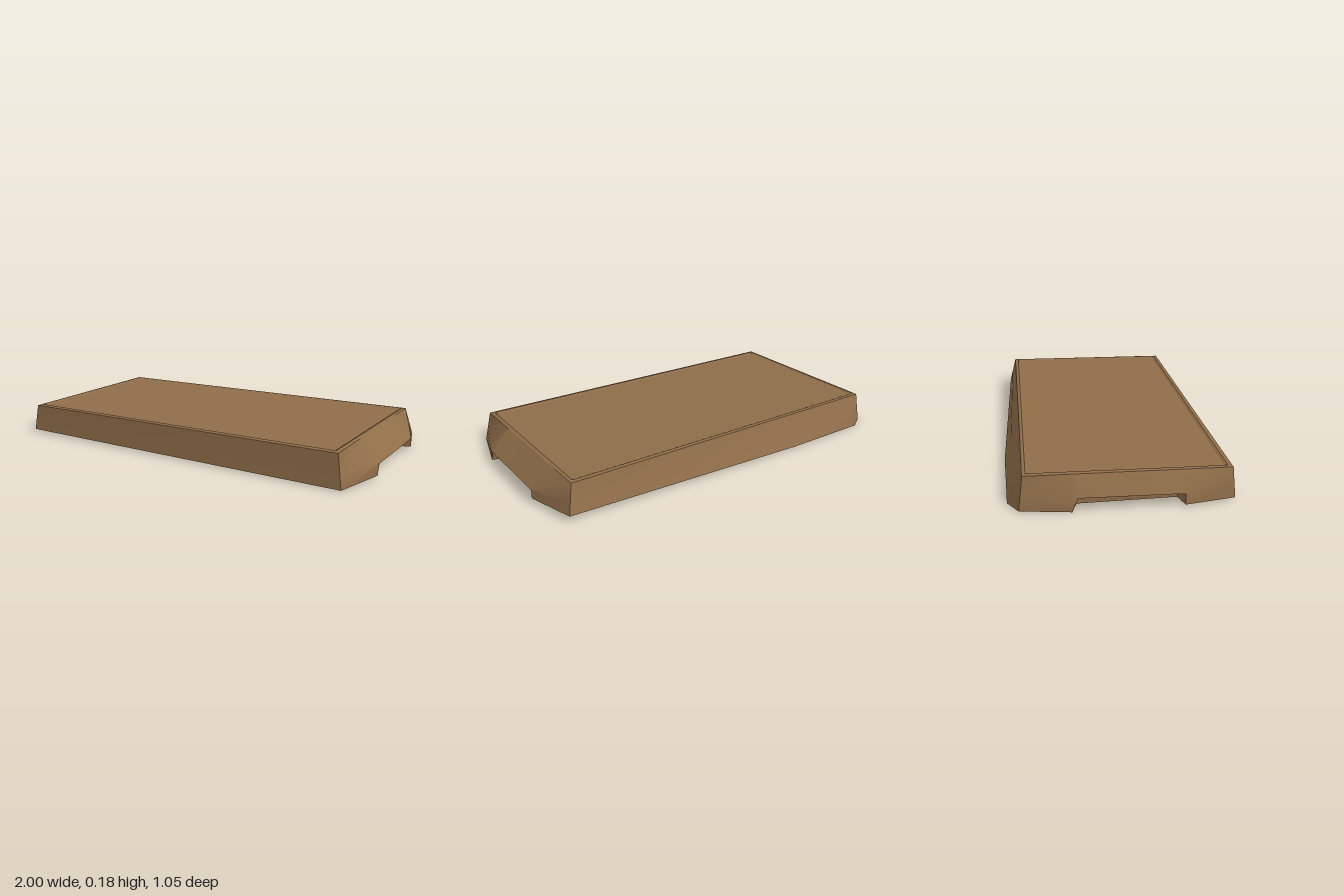
import * as THREE from 'three';
import { toCreasedNormals } from 'three/addons/utils/BufferGeometryUtils.js';

const wood = new THREE.MeshStandardMaterial({ color: 0x8f6d49 });
wood.name = 'brown wood';

// Height of the slightly tilted top
const topY = (x, z) => 0.167 + 0.007 * x - 0.009 * z;
const mix = (a, b, t) => a.map((v, i) => v + (b[i] - v) * t);

// Rim corners in plan (x, z)
const rim = { fl: [-0.94, 0.485], fr: [0.9, 0.5], br: [0.895, -0.455], bl: [-0.945, -0.45] };

// A column runs up the wall: base, ledge, lip, outer rim, inner rim, panel edge
function column(base, [rx, rz], lip) {
  const at = (s, drop) => [rx * (1 - s / 0.93), topY(rx, rz) - drop, rz * (1 - s / 0.48)];
  const foot = base;
  const outer = [rx, topY(rx, rz) - 0.004, rz];
  return [foot, foot, lip || mix(foot, outer, 0.4), outer, null, null, at];
}

// Rim point on an end: keeps a straight line between its corners
const endRim = (a, b, z) => mix(a, b, (a[1] - z) / (a[1] - b[1]));

// Columns inside a hand notch are pushed in beneath the lip
function notchColumn(side, z, baseY, rimPoint) {
  const c = column([side * 0.92, baseY, z], rimPoint, [side, 0.066 - 0.01 * z, z]);
  c[1] = [side * 0.92, 0.062 - 0.01 * z, z];
  return c;
}

function buildColumns() {
  const { fl, fr, br, bl } = rim;
  const cols = [
    column([-0.96, 0.012, 0.495], fl),
    column([0.93, 0.005, 0.525], fr),
    // right end with its notch
    column([1, 0.01, 0.26], endRim(fr, br, 0.26), [1, 0.065, 0.26]),
    notchColumn(1, 0.24, 0.01, endRim(fr, br, 0.24)),
    notchColumn(1, -0.215, 0.022, endRim(fr, br, -0.215)),
    column([1, 0.025, -0.24], endRim(fr, br, -0.24), [1, 0.07, -0.24]),
    // back edge with one clipped corner
    column([0.93, 0.03, -0.49], br),
    column([-0.4, 0.01, -0.53], mix(br, bl, 0.7)),
    column([-0.88, 0.004, -0.52], [-0.91, -0.452]),
    column([-0.96, 0.002, -0.47], bl),
    // left end with its notch
    column([-1, 0.004, -0.24], endRim(fl, bl, -0.24), [-1, 0.06, -0.24]),
    notchColumn(-1, -0.215, 0.004, endRim(fl, bl, -0.215)),
    notchColumn(-1, 0.24, 0.01, endRim(fl, bl, 0.24)),
    column([-1, 0.01, 0.26], endRim(fl, bl, 0.26), [-1, 0.06, 0.26]),
  ];
  // Inset the rim by clamping each point into a smaller rectangle
  const inset = ([x, , z], d, drop) => {
    const px = THREE.MathUtils.clamp(x, -0.94 + d, 0.895 - d);
    const pz = THREE.MathUtils.clamp(z, -0.45 + d, 0.485 + 0.008 * x - d);
    return [px, topY(px, pz) - drop, pz];
  };
  cols.forEach((c) => {
    c[4] = inset(c[3], 0.014, 0);
    c[5] = inset(c[3], 0.026, 0.007);
    c.length = 6;
  });
  return cols;
}

function meshFrom(triangles, name, crease) {
  const geometry = new THREE.BufferGeometry();
  geometry.setAttribute('position', new THREE.Float32BufferAttribute(triangles.flat(), 3));
  const mesh = new THREE.Mesh(toCreasedNormals(geometry, crease), wood);
  mesh.name = name;
  return mesh;
}

// Strip of quads between two rows of the columns
function band(cols, from, to) {
  const tris = [];
  cols.forEach((a, i) => {
    const b = cols[(i + 1) % cols.length];
    for (let r = from; r < to; r++) {
      tris.push(a[r], b[r], b[r + 1], a[r], b[r + 1], a[r + 1]);
    }
  });
  return tris;
}

// Fan that closes a row
function cap(cols, row, centre, up) {
  const tris = [];
  cols.forEach((a, i) => {
    const b = cols[(i + 1) % cols.length];
    tris.push(...(up ? [a[row], b[row], centre] : [b[row], a[row], centre]));
  });
  return tris;
}

export function createModel() {
  const group = new THREE.Group();
  group.name = 'woodenBoard';
  const cols = buildColumns();
  group.add(
    meshFrom(band(cols, 0, 3), 'sideWallsWithHandNotches', 0.75),
    meshFrom(band(cols, 3, 5), 'raisedRim', 0.5),
    meshFrom(cap(cols, 5, [0, topY(0, 0) - 0.007, 0], true), 'topPanel', 0.4),
    meshFrom(cap(cols, 0, [0, 0.006, 0], false), 'underside', 0.4),
  );
  return group;
}
